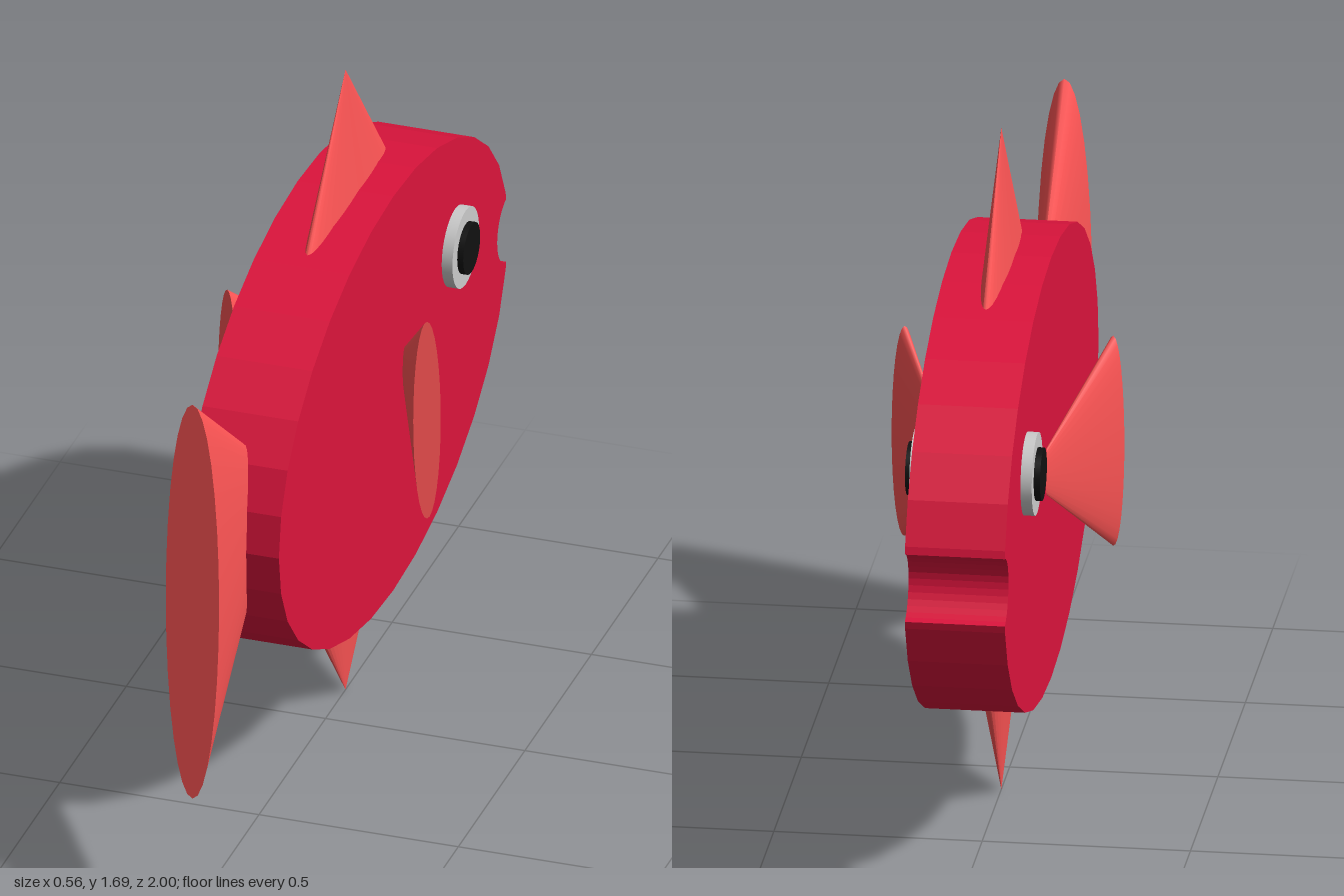
import * as THREE from 'three';

const bodyMat = new THREE.MeshStandardMaterial({ color: 0xdc143c });
const finMat = new THREE.MeshStandardMaterial({ color: 0xff5555 });
const eyeMat = new THREE.MeshStandardMaterial({ color: 0xc0c0c0 });
const pupilMat = new THREE.MeshStandardMaterial({ color: 0x111111 });

const MID_Y = 0.826, MID_Z = -0.15, HALF_WIDTH = 0.12;

export function createModel() {
  const fish = new THREE.Group();
  fish.name = 'fish';

  function add(name, geometry, material, x, y, z) {
    const mesh = new THREE.Mesh(geometry, material);
    mesh.name = name;
    mesh.position.set(x, y, z);
    fish.add(mesh);
    return mesh;
  }

  // Body: faceted oval slab with a round mouth notch at the -z end
  const outline = [];
  for (let k = 17; k <= 47; k++) {
    const a = (k / 32) * Math.PI * 2;
    outline.push(new THREE.Vector2(MID_Z + 0.86 * Math.cos(a), MID_Y + 0.535 * Math.sin(a)));
  }
  for (let k = 0; k <= 14; k++) {
    const a = 1.34 * (1 - k / 7);
    outline.push(new THREE.Vector2(-1.018 + 0.088 * Math.cos(a), MID_Y + 0.088 * Math.sin(a)));
  }
  const body = new THREE.ExtrudeGeometry(new THREE.Shape(outline), { depth: 2 * HALF_WIDTH, bevelEnabled: false });
  body.translate(0, 0, -HALF_WIDTH).rotateY(-Math.PI / 2);
  add('body', body, bodyMat, 0, 0, 0);

  // Fins: flattened cones; the origin is at the tip, which points up
  function finGeometry(size) {
    return new THREE.ConeGeometry(0.535 * size, 0.67 * size, 32)
      .scale(0.125, 1, 1)
      .translate(0, -0.335 * size, 0);
  }
  add('dorsalFin', finGeometry(1), finMat, 0, 1.685, MID_Z);
  add('bellyFin', finGeometry(1).rotateX(Math.PI), finMat, 0, 0, MID_Z);
  add('tailFin', finGeometry(1).rotateX(-Math.PI / 2), finMat, 0, 0.84, 0.33);

  // Paired side fins and eyes
  for (const [side, s] of [['left', 1], ['right', -1]]) {
    const fin = finGeometry(0.5).rotateX(-Math.PI / 2).rotateY(s * Math.PI / 6);
    add(side + 'SideFin', fin, finMat, s * 0.083, 0.848, -0.302);

    const eye = new THREE.CylinderGeometry(0.1, 0.1, 0.05, 32).rotateZ(Math.PI / 2);
    add(side + 'Eye', eye, eyeMat, s * 0.122, 0.985, -0.613);
    const pupil = new THREE.CylinderGeometry(0.064, 0.064, 0.05, 32).rotateZ(Math.PI / 2);
    add(side + 'Pupil', pupil, pupilMat, s * 0.137, 0.985, -0.613);
  }
  return fish;
}
